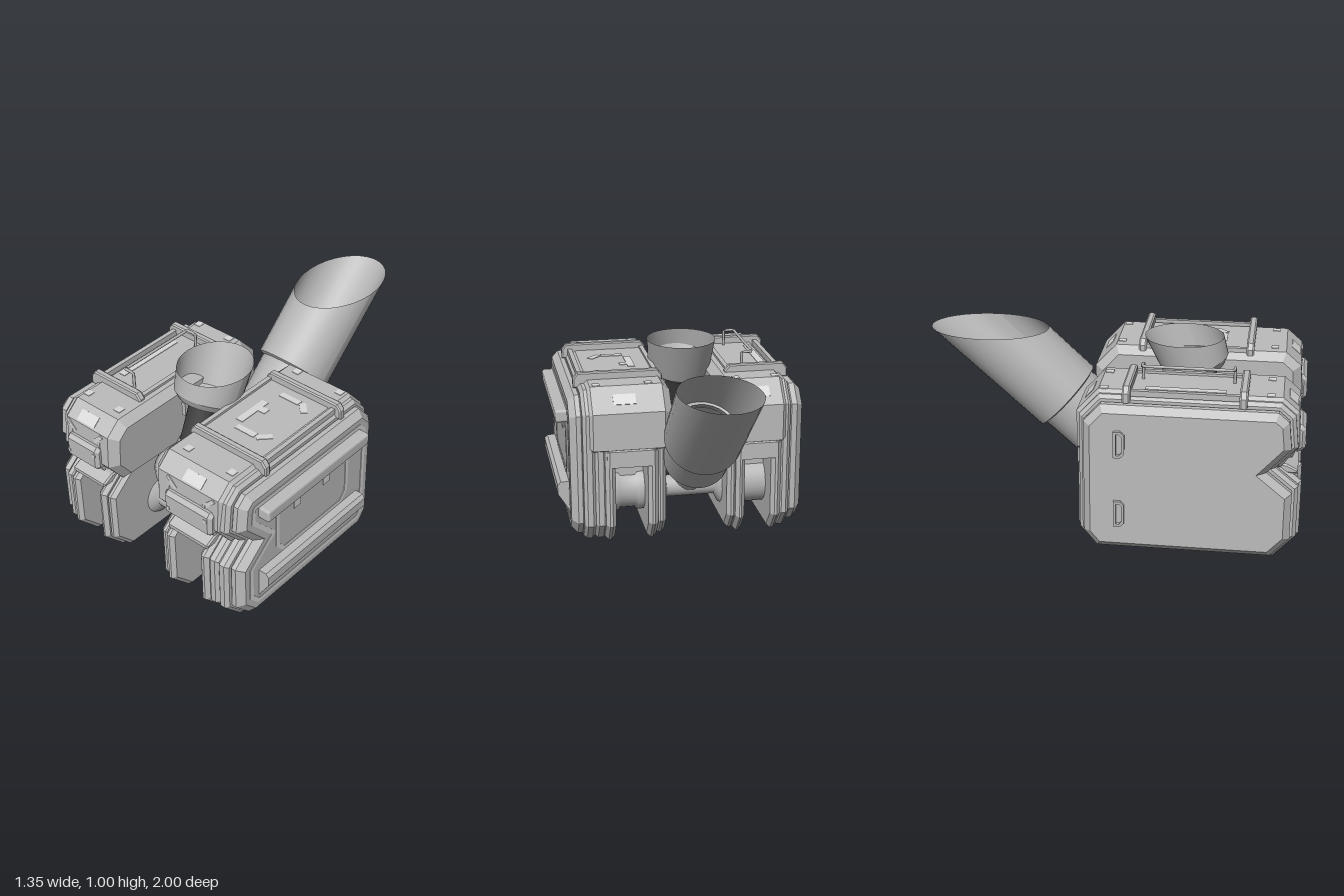
import * as THREE from 'three';
import { RoundedBoxGeometry } from 'three/addons/geometries/RoundedBoxGeometry.js';

const material = (name, color, extra = {}) => {
  const m = new THREE.MeshStandardMaterial({ color, ...extra });
  m.name = name;
  return m;
};

// Side outline of a housing as [z, y], running round from the lower front
const OUTLINE = [[0.99, 0.13], [0.87, 0], [-0.05, 0], [-0.14, 0.11], [-0.14, 0.75], [-0.03, 0.87],
  [0.88, 0.87], [0.96, 0.8], [0.98, 0.62], [0.88, 0.51], [0.99, 0.42]];
const HOOD = [[0.88, 0.5], [0, 0.48], [-0.14, 0.55], [-0.14, 0.75], [-0.03, 0.87],
  [0.88, 0.87], [0.96, 0.8], [0.97, 0.62]];
const LAMP = [[1, 0.6], [0.98, 0.58], [0.9, 0.58], [0.9, 0.72], [0.98, 0.72], [1, 0.7]];

// Moves every edge of an outline inward by d
function inset(pts, d) {
  return pts.map((p, i) => {
    const a = pts[(i + pts.length - 1) % pts.length], b = pts[(i + 1) % pts.length];
    const n = (u, v) => {
      const l = Math.hypot(v[0] - u[0], v[1] - u[1]);
      return [(v[1] - u[1]) / l, -(v[0] - u[0]) / l];
    };
    const n1 = n(a, p), n2 = n(p, b), k = d / (1 + n1[0] * n2[0] + n1[1] * n2[1]);
    return [p[0] + (n1[0] + n2[0]) * k, p[1] + (n1[1] + n2[1]) * k];
  });
}
const toShape = (pts) => new THREE.Shape(pts.map(([z, y]) => new THREE.Vector2(-z, y)));

export function createModel() {
  const root = new THREE.Group();
  const grey = material('grey metal', 0xbcbcbc);
  const pale = material('pale marking', 0xd8d8d8);
  const dark = material('dark rubber', 0x404040);
  const sheet = material('grey sheet', 0xb6b6b6, { side: THREE.DoubleSide });
  const CX = -0.067;

  const add = (parent, name, geo, mat, x = 0, y = 0, z = 0) => {
    const m = new THREE.Mesh(geo, mat);
    m.name = name;
    m.position.set(x, y, z);
    parent.add(m);
    return m;
  };
  // Extrudes a side outline between two x positions with a chamfer
  const slab = (parent, name, mat, shape, xa, xb, bevel) => {
    const x0 = Math.min(xa, xb), w = Math.abs(xb - xa);
    const g = new THREE.ExtrudeGeometry(shape, { depth: w - 2 * bevel, bevelEnabled: bevel > 0,
      bevelThickness: bevel, bevelSize: bevel, bevelOffset: -bevel, bevelSegments: 1 });
    g.translate(0, 0, bevel);
    g.rotateY(Math.PI / 2);
    return add(parent, name, g, mat, x0);
  };
  const box = (parent, name, mat, w, h, d, x, y, z) =>
    add(parent, name, new THREE.BoxGeometry(w, h, d), mat, x, y, z);
  const wire = (parent, name, pts, r) => {
    const path = new THREE.CurvePath();
    const v = pts.map((p) => new THREE.Vector3(...p));
    for (let i = 1; i < v.length; i++) path.add(new THREE.LineCurve3(v[i - 1], v[i]));
    return add(parent, name, new THREE.TubeGeometry(path, (v.length - 1) * 8, r, 8), sheet);
  };
  // Lathed part along x, profile given as [radius, x]
  const turned = (parent, name, profile, y, z) => {
    const pts = profile.map(([r, x]) => new THREE.Vector2(r, -x)).reverse();
    const g = new THREE.LatheGeometry(pts, 28);
    g.rotateZ(Math.PI / 2);
    return add(parent, name, g, sheet, 0, y, z);
  };

  function housing(name, s, p) {
    const g = new THREE.Group();
    g.name = name;
    root.add(g);
    const X = (v) => s * v;
    const mid = s * (p.openIn + p.openOut) / 2, hoodMid = s * (p.inner + p.hoodOut) / 2;

    // Stacked side plates
    slab(g, 'outerPlate', grey, toShape(inset(OUTLINE, 0.045)), X(p.hoodOut - 0.02), X(p.outer), 0.035);
    for (const [a, b] of p.ribs) slab(g, 'outerRib', grey, toShape(inset(OUTLINE, 0.015)), X(a), X(b), 0.018);
    slab(g, 'outerWall', grey, toShape(OUTLINE), X(p.openOut), X(p.archOut), 0.02);
    slab(g, 'innerWall', grey, toShape(OUTLINE), X(p.archIn), X(p.openIn), 0.02);
    slab(g, 'innerPlate', grey, toShape(inset(OUTLINE, 0.02)), X(p.inner), X(p.archIn + 0.01), 0.02);

    // Upper hood, core block and arch lintels
    slab(g, 'hood', grey, toShape(inset(HOOD, -0.002)), X(p.hoodIn), X(p.hoodOut), 0.043);
    box(g, 'coreBlock', grey, p.openOut - p.openIn + 0.02, 0.22, 0.7, mid, 0.41, 0.4);
    const frontLintel = [[0.97, 0.46], [0.8, 0.46], [0.8, 0.51], [0.91, 0.51], [0.97, 0.48]];
    const rearLintel = [[0.06, 0.45], [-0.145, 0.45], [-0.145, 0.54], [-0.12, 0.56], [0.06, 0.56]];
    slab(g, 'frontLintel', grey, toShape(frontLintel), X(p.archIn + 0.01), X(p.archOut - 0.01), 0.008);
    slab(g, 'rearLintel', grey, toShape(rearLintel), X(p.archIn + 0.01), X(p.archOut - 0.01), 0.012);

    // Drums
    for (const z of [0.62, 0.12]) {
      const a = Math.min(X(p.openIn), X(p.openOut)), b = Math.max(X(p.openIn), X(p.openOut));
      const w = (b - a) / 4, r = p.waist;
      turned(g, 'drum', [[0.13, a], [0.13, a + w * 0.8], [r, a + w * 1.1], [r, b - w * 1.1], [0.13, b - w * 0.8], [0.13, b]], 0.24, z);
    }

    // Front lamp with guard loop
    const lw = p.lamp;
    slab(g, 'lamp', grey, toShape(LAMP), hoodMid - lw / 2, hoodMid + lw / 2, 0.018);
    for (const k of [-1, 1]) box(g, 'lampMark', pale, 0.018, 0.018, 0.006, hoodMid + k * lw * 0.4, 0.65 + k * 0.025, 1);
    const h = lw * 0.38;
    wire(g, 'guardLoop', [[hoodMid - h, 0.6, 0.95], [hoodMid - h, 0.545, 0.93],
      [hoodMid + h, 0.545, 0.93], [hoodMid + h, 0.6, 0.95]], 0.011);

    // Roof bars with bent ends
    const [roofA, roofB] = p.bar;
    for (const z of [0.69, 0.115]) {
      const bar = new THREE.Shape([[roofA, 0.83], [roofB, 0.83], [roofB, 0.88], [roofB - 0.025, 0.912],
        [roofA + 0.025, 0.912], [roofA, 0.88]].map(([x, y]) => new THREE.Vector2(X(x), y)));
      add(g, 'roofBar', new THREE.ExtrudeGeometry(bar, { depth: 0.024, bevelThickness: 0.008, bevelSize: 0.006,
        bevelOffset: -0.006, bevelSegments: 1 }), grey, 0, 0, z - 0.012);
    }
    for (const x of [roofA + 0.025, roofB - 0.045]) box(g, 'roofRail', grey, 0.025, 0.03, 0.56, X(x), 0.87, 0.4);

    // Thin pale markings on the slopes, front and roof corners
    const slope = (y, z, angle) => {
      box(g, 'slopeMark', pale, 0.12, 0.006, 0.06, hoodMid, y, z).rotation.x = angle;
    };
    slope(0.827, 0.932, Math.atan2(0.07, 0.08));
    slope(0.812, -0.087, -Math.atan2(0.12, 0.11));
    const rw = (p.hoodOut - p.inner) * 0.32;
    for (const k of [-1, 1]) {
      const diagonal = box(g, 'frontDiagonal', pale, 0.022, 0.075, 0.006, hoodMid + k * rw * 0.88, 0.765, 0.965);
      diagonal.rotation.z = -k * Math.PI / 4;
      for (const z of [0.82, -0.005]) box(g, 'roofCornerMark', pale, 0.04, 0.006, 0.04, hoodMid + k * rw, 0.872, z);
    }
    return g;
  }

  const left = housing('leftHousing', 1, { hoodIn: 0.065, inner: 0.1, archIn: 0.145, openIn: 0.2, openOut: 0.375,
    archOut: 0.43, hoodOut: 0.535, outer: 0.61, lamp: 0.305, waist: 0.115, bar: [0.085, 0.567],
    ribs: [[0.42, 0.485], [0.48, 0.545]] });
  const right = housing('rightHousing', -1, { hoodIn: 0.2, inner: 0.235, archIn: 0.28, openIn: 0.33, openOut: 0.475,
    archOut: 0.53, hoodOut: 0.575, outer: 0.655, lamp: 0.225, waist: 0.13, bar: [0.26, 0.61], ribs: [[0.52, 0.58]] });

  // Left outer face: bar, wedge step, outlined panel
  add(left, 'sideBar', new RoundedBoxGeometry(0.075, 0.07, 0.79, 2, 0.015), grey, 0.636, 0.7, 0.415);
  const wedge = new THREE.Shape([[0.6, 0.14], [0.672, 0.255], [0.672, 0.305], [0.655, 0.325], [0.6, 0.325]]
    .map((v) => new THREE.Vector2(...v)));
  add(left, 'sideWedge', new THREE.ExtrudeGeometry(wedge, { depth: 0.78, bevelEnabled: false }), grey, 0, 0, 0.03);
  const outlineRing = (name, pts, d) => {
    const shape = toShape(pts);
    shape.holes.push(toShape(inset(pts, d)));
    slab(left, name, pale, shape, 0.608, 0.613, 0);
  };
  outlineRing('faceLine', inset(OUTLINE, 0.112), 0.024);
  outlineRing('panelLine', [[0.68, 0.39], [0.63, 0.33], [0.16, 0.33], [0.11, 0.39], [0.11, 0.59], [0.16, 0.65],
    [0.63, 0.65], [0.68, 0.59]], 0.022);
  for (const z of [0.52, 0.29]) box(left, 'panelMark', pale, 0.006, 0.05, 0.05, 0.611, 0.575, z);

  // Roof panels: broken octagon on the left, strip on the right
  for (const [w, d, x, z, turn] of [[0.04, 0.2, 0.22, 0.4, 0], [0.12, 0.035, 0.3, 0.2, 0], [0.12, 0.035, 0.3, 0.54, 0],
    [0.035, 0.08, 0.4, 0.22, 0.785], [0.035, 0.08, 0.4, 0.52, -0.785], [0.06, 0.04, 0.25, 0.36, 0]]) {
    box(left, 'roofPanelMark', pale, w, 0.006, d, x, 0.872, z).rotation.y = turn;
  }
  box(right, 'roofStrip', pale, 0.04, 0.006, 0.4, -0.5, 0.872, 0.4);

  // Right outer face: hinge loops; roof: wire handle
  for (const y of [0.63, 0.25]) {
    const ring = [[0.115, y - 0.05], [0.095, y - 0.07], [0.06, y - 0.07], [0.06, y + 0.07], [0.095, y + 0.07], [0.115, y + 0.05]];
    const shape = toShape(ring);
    shape.holes.push(toShape(inset(ring, 0.014)));
    slab(right, 'hingeLoop', sheet, shape, -0.672, -0.65, 0);
  }
  wire(right, 'wireHandle', [[-0.372, 0.86, 0.175], [-0.372, 0.96, 0.175], [-0.43, 0.96, 0.175],
    [-0.43, 0.96, 0.635], [-0.372, 0.96, 0.635], [-0.372, 0.86, 0.635]], 0.008);

  // Cross axles with flared flanges
  for (const z of [0.62, 0.12]) {
    turned(root, 'axle', [[0.115, -0.245], [0.105, -0.225], [0.062, -0.205], [0.06, -0.2], [0.06, 0.065],
      [0.062, 0.07], [0.105, 0.09], [0.115, 0.11]], 0.225, z);
  }

  // Tube about a slanted axis through stations [radius, y]; the last may be cut level
  function slanted(name, mat, axis, dir, stations, level = false, cap = false) {
    const n = 32, pos = [], idx = [];
    const d = new THREE.Vector3(0, dir[0], dir[1]).normalize();
    const side = new THREE.Vector3(0, -d.z, d.y);
    const at = (y) => new THREE.Vector3(CX, y, axis[1] + (y - axis[0]) * d.z / d.y);
    stations.forEach(([r, y], j) => {
      for (let i = 0; i <= n; i++) {
        const t = i / n * Math.PI * 2;
        const v = at(y).addScaledVector(side, r * Math.sin(t));
        v.x += r * Math.cos(t);
        if (level && j === stations.length - 1) v.addScaledVector(d, (y - v.y) / d.y);
        pos.push(v.x, v.y, v.z);
        if (j && i) {
          const b = j * (n + 1) + i, a = b - n - 1;
          idx.push(a - 1, b - 1, a, a, b - 1, b);
        }
      }
    });
    const g = new THREE.BufferGeometry();
    g.setAttribute('position', new THREE.Float32BufferAttribute(pos, 3));
    g.setIndex(idx);
    g.computeVertexNormals();
    add(root, name, g, mat);
    if (cap) {
      const [r, y] = stations[0];
      const m = add(root, name + 'Floor', new THREE.CircleGeometry(r, n), sheet);
      m.position.copy(at(y));
      m.quaternion.setFromUnitVectors(new THREE.Vector3(0, 0, 1), d);
    }
  }

  // Front stack: joint, rubber neck in a bracket, cup
  const fa = [1, 0.355], fd = [0.92, -0.39];
  turned(root, 'frontJointBody', [[0.001, -0.225], [0.08, -0.225], [0.115, -0.18], [0.115, 0.05], [0.08, 0.1], [0.001, 0.1]], 0.44, 0.595);
  slanted('frontCollar', sheet, fa, fd, [[0.12, 0.46], [0.12, 0.53], [0.095, 0.57], [0.085, 0.61]]);
  slanted('frontNeck', dark, fa, fd, [[0.08, 0.58], [0.08, 0.82]]);
  for (const k of [-1, 1]) box(root, 'neckBracket', grey, 0.025, 0.08, 0.1, CX + k * 0.095, 0.755, 0.45);
  slanted('frontCupBase', sheet, fa, fd, [[0.14, 0.81], [0.175, 0.845]], false, true);
  slanted('frontCup', sheet, fa, fd, [[0.175, 0.845], [0.19, 1.005]], true);

  // Rear stack: joint, rubber neck, sleeve and wide pipe
  const ra = [1.005, -0.68], rd = [0.67, -0.74];
  slanted('rearJoint', sheet, ra, rd, [[0.08, 0.21], [0.09, 0.22], [0.09, 0.32], [0.08, 0.35]], false, true);
  slanted('rearNeck', dark, ra, rd, [[0.075, 0.33], [0.075, 0.47]]);
  slanted('rearSleeveBase', sheet, ra, rd, [[0.12, 0.42], [0.18, 0.46]], false, true);
  slanted('rearSleeve', sheet, ra, rd, [[0.18, 0.46], [0.182, 0.65]]);
  slanted('rearPipeStep', sheet, ra, rd, [[0.18, 0.63], [0.207, 0.636]]);
  slanted('rearPipe', sheet, ra, rd, [[0.207, 0.636], [0.21, 1.005]], true);

  return root;
}
